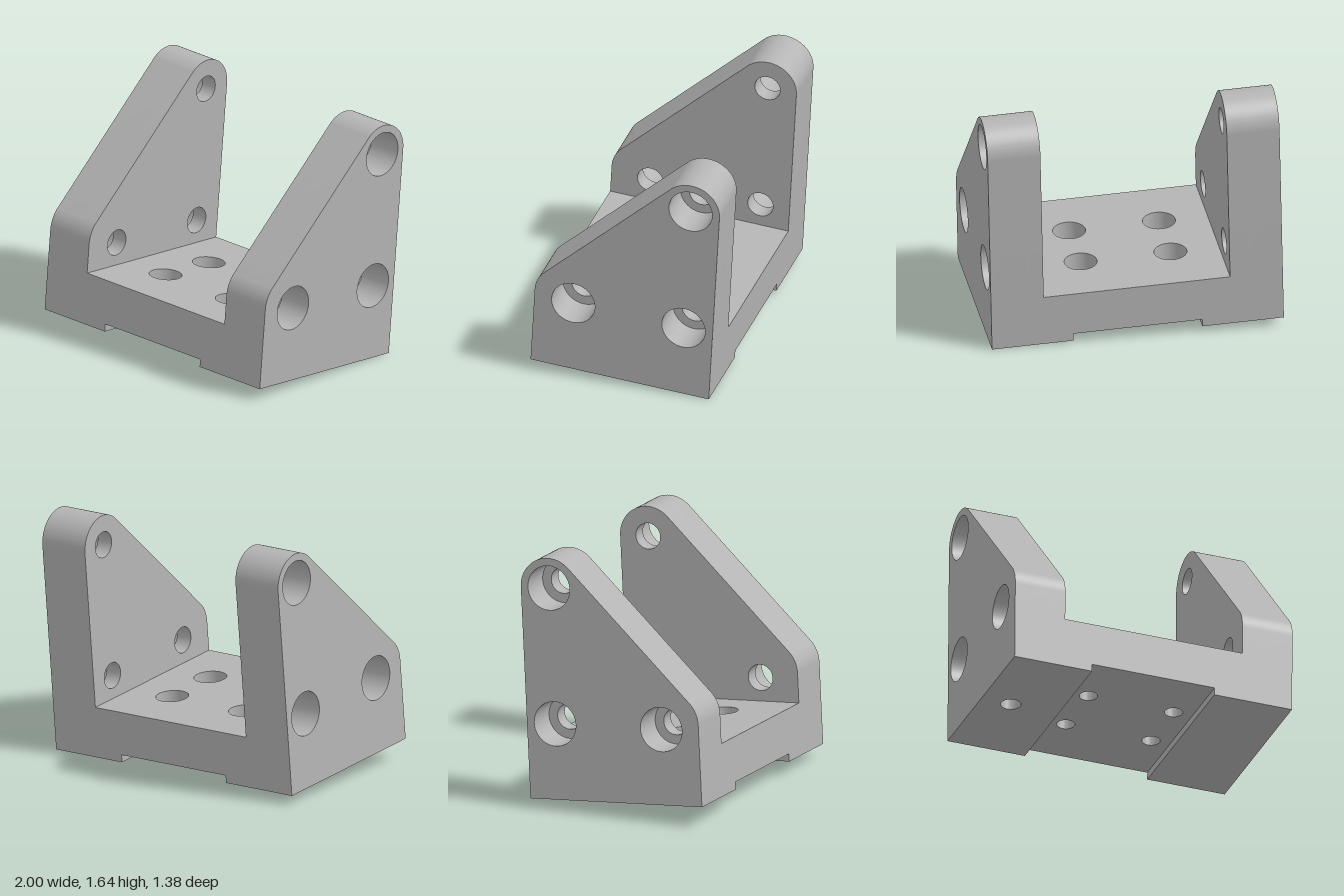
import * as THREE from 'three';
import { toCreasedNormals } from 'three/addons/utils/BufferGeometryUtils.js';

const W = 0.9425, D = 0.597;          // half width, half depth
const INNER = 0.602, LEDGE = 0.7125;  // inner wall face, counterbore floor
const FOOT = 0.25, FLOOR = 0.34, RECESS = 0.05, BASE_LEDGE = 0.19;

export function createModel() {
  const metal = new THREE.MeshStandardMaterial({ color: 0xb4b4b4 });
  metal.name = 'grey metal';
  const bracket = new THREE.Group();
  bracket.name = 'bracket';

  const extrude = (shape, holes, depth) => {
    for (const [x, y, r] of holes) {
      shape.holes.push(new THREE.Path().absarc(x, y, r, 0, Math.PI * 2, true));
    }
    return new THREE.ExtrudeGeometry(shape, { depth, bevelEnabled: false, curveSegments: 24 });
  };
  const add = (name, geometry) => {
    const mesh = new THREE.Mesh(toCreasedNormals(geometry, 0.5), metal);
    mesh.name = name;
    bracket.add(mesh);
  };

  // Horizontal slab from y0 to y1 with vertical holes
  const slab = (name, x0, x1, y0, y1, holes = []) => {
    const s = new THREE.Shape([[x0, -D], [x1, -D], [x1, D], [x0, D]].map(p => new THREE.Vector2(...p)));
    add(name, extrude(s, holes, y1 - y0).rotateX(-Math.PI / 2).translate(0, y0, 0));
  };

  // Sloping cheek layer from x0 to x1 with three cross holes
  const cheek = (name, x0, x1, r) => {
    const slope = THREE.MathUtils.degToRad(136.2);
    const s = new THREE.Shape();
    s.moveTo(-D, FOOT);
    s.lineTo(D, FOOT);
    s.absarc(0.403, 1.377, 0.194, 0, slope, false);
    s.absarc(-0.397, 0.534, 0.2, slope, Math.PI, false);
    s.closePath();
    const holes = [[0.403, 1.377, r], [0.402, 0.493, r], [-0.337, 0.493, r]];
    add(name, extrude(s, holes, x1 - x0).rotateY(Math.PI / 2).translate(x0, 0, 0));
  };

  // Base plate: narrow bolt holes below, wide counterbores above
  const bolts = r => [[-0.29, -0.2, r], [0.29, -0.2, r], [-0.29, 0.2, r], [0.29, 0.2, r]];
  slab('baseLower', -INNER, INNER, RECESS, BASE_LEDGE, bolts(0.058));
  slab('baseUpper', -INNER, INNER, BASE_LEDGE, FLOOR, bolts(0.105));

  // Two side walls, each with a foot and a counterbored cheek
  for (const [side, sign] of [['left', 1], ['right', -1]]) {
    const span = (a, b) => (sign > 0 ? [a, b] : [-b, -a]);
    slab(side + 'FootStrip', ...span(0.416, INNER), 0, RECESS);
    // Only the right foot has a blind hole underneath
    slab(side + 'Foot', ...span(INNER, W), 0, FOOT, sign < 0 ? [[-0.74, 0, 0.065]] : []);
    cheek(side + 'CheekInner', ...span(INNER, LEDGE), 0.085);
    cheek(side + 'CheekOuter', ...span(LEDGE, W), 0.145);
  }

  // The whole bracket leans slightly
  const ax = new THREE.Vector3(0.9977, -0.032, 0.058).normalize();
  const az = new THREE.Vector3(-0.0545, 0.063, 0.9965);
  const ay = az.clone().cross(ax).normalize();
  az.crossVectors(ax, ay);
  bracket.quaternion.setFromRotationMatrix(new THREE.Matrix4().makeBasis(ax, ay, az));

  // Centre and stand on the ground
  const model = new THREE.Group();
  model.name = 'mountingBracket';
  model.add(bracket);
  model.updateMatrixWorld(true);
  const box = new THREE.Box3().setFromObject(model, true);
  const c = box.getCenter(new THREE.Vector3());
  bracket.position.set(-c.x, -box.min.y, -c.z);
  return model;
}
